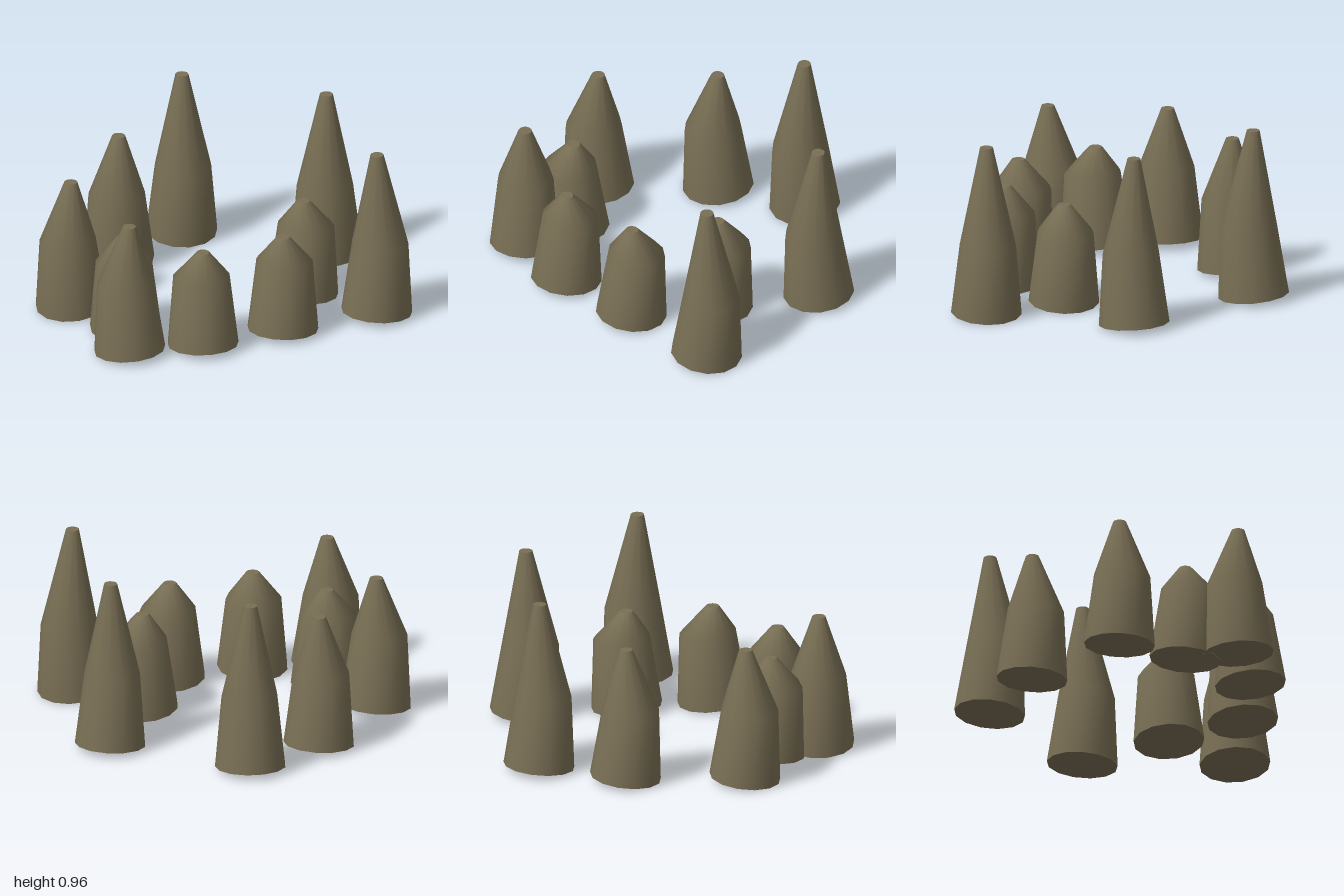
import * as THREE from 'three';
import { mergeVertices } from 'three/addons/utils/BufferGeometryUtils.js';

const SIDES = 13;
const TILT = 0.1; // slope of the lower body

// Leaning spike: tilted base ring, tilted shoulder ring, level narrow tip.
// (dx, dz) is the direction the lower body leans in.
function spikeGeometry(height, dx, dz) {
  const len = Math.hypot(dx, dz);
  const lx = dx / len, lz = dz / len;
  const rings = [
    { r: 0.195, y: 0.02, shift: 0, tilt: TILT },
    { r: 0.155, y: 0.42, shift: 0.03, tilt: TILT },
    { r: 0.036, y: height, shift: 0.003, tilt: 0 },
  ];
  const cylinder = new THREE.CylinderGeometry(1, 1, 2, SIDES, 2);
  cylinder.deleteAttribute('uv');
  const geometry = mergeVertices(cylinder); // closes the side seam, keeps caps sharp
  const pos = geometry.attributes.position;
  for (let i = 0; i < pos.count; i++) {
    const ring = rings[Math.round(pos.getY(i) + 1)];
    const x = pos.getX(i) * ring.r, z = pos.getZ(i) * ring.r;
    const along = x * lx + z * lz;
    pos.setXYZ(i, x + lx * ring.shift, ring.y - along * ring.tilt, z + lz * ring.shift);
  }
  geometry.computeVertexNormals();
  return geometry;
}

export function createModel() {
  const group = new THREE.Group();
  group.name = 'spikeRing';
  const stone = new THREE.MeshStandardMaterial({ color: 0x786e54 });
  stone.name = 'olive stone';

  // name, x, z, height, lean direction x, lean direction z
  const spikes = [
    ['tallSpikeBack', 0, -0.735, 0.96, 0, 1],
    ['tallSpikeBackLeft', 0.713, -0.305, 0.96, -0.5, 0.85],
    ['tallSpikeFrontLeft', 0.803, 0.525, 0.96, 0.8, -0.6],
    ['mediumSpikeBackRight', -0.418, -0.455, 0.76, -0.6, 0.8],
    ['mediumSpikeRight', -0.807, 0.07, 0.76, -0.8, 0.6],
    ['mediumSpikeFrontRight', -0.625, 0.705, 0.76, -0.7, -0.7],
    ['shortSpikeRight', -0.58, 0.405, 0.57, -0.5, 0.85],
    ['shortSpikeFrontRight', -0.218, 0.725, 0.57, -0.1, -1],
    ['shortSpikeFrontLeft', 0.252, 0.63, 0.57, 0.5, -0.85],
    ['shortSpikeLeft', 0.463, 0.2, 0.57, 0.75, -0.6],
  ];
  for (const [name, x, z, height, dx, dz] of spikes) {
    const spike = new THREE.Mesh(spikeGeometry(height, dx, dz), stone);
    spike.name = name;
    spike.position.set(x, 0, z);
    group.add(spike);
  }
  return group;
}
